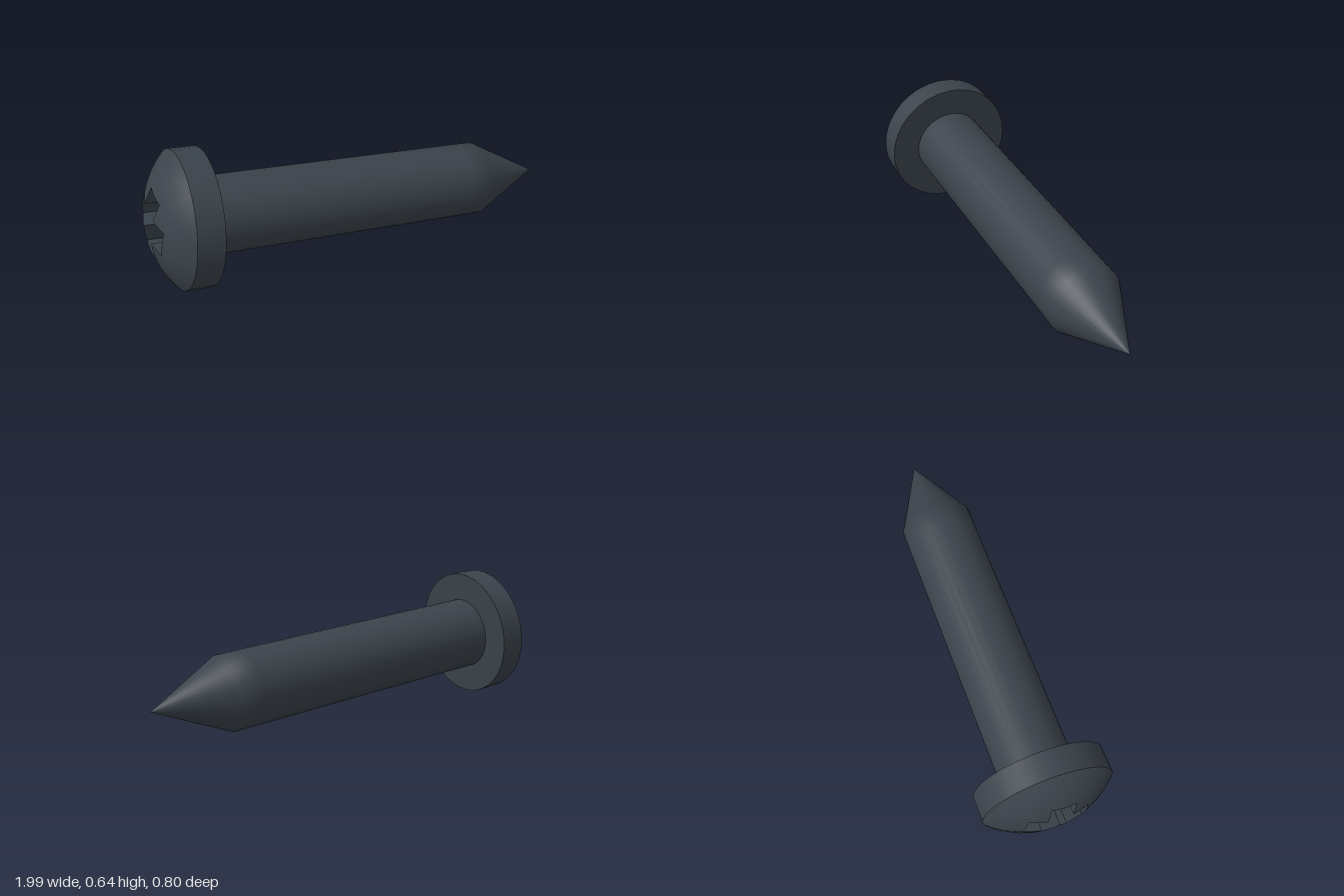
import * as THREE from 'three';

const SIDES = 32;
const SHAFT_R = 0.178, LENGTH = 1.78, TAPER = 0.36;
const HEAD_R = 0.314, RIM = 0.124, DOME = 0.126;
const SLOT = 0.148, SLOT_FLOOR = -0.135; // half length of the cross, height of its floor

// Radius of the cross-shaped outline at column j (arm ends, then arm sides)
function crossRadius(j) {
  const k = j % 8;
  const a = Math.min(k, 8 - k) * Math.PI / 16;
  return a <= Math.PI / 8 + 1e-6
    ? SLOT / Math.cos(a)
    : SLOT * Math.tan(Math.PI / 8) / Math.sin(a);
}

// Height of the domed face at a distance r from the axis
const SPHERE_R = (HEAD_R ** 2 + DOME ** 2) / (2 * DOME);
const domeY = (r) => SPHERE_R - RIM - DOME - Math.sqrt(SPHERE_R ** 2 - r * r);

// Closed surface strip: point(i, j) returns [radius, y]
function ringSurface(rows, point, flat) {
  const pos = [], idx = [];
  for (let i = 0; i <= rows; i++) {
    for (let j = 0; j < SIDES; j++) {
      const [r, y] = point(i, j);
      const a = (j / SIDES) * Math.PI * 2;
      pos.push(r * Math.cos(a), y, r * Math.sin(a));
      if (i === rows) continue;
      const n = (j + 1) % SIDES;
      const p = i * SIDES + j, q = i * SIDES + n;
      idx.push(p, p + SIDES, q, q, p + SIDES, q + SIDES);
    }
  }
  let g = new THREE.BufferGeometry();
  g.setAttribute('position', new THREE.Float32BufferAttribute(pos, 3));
  g.setIndex(idx);
  if (flat) g = g.toNonIndexed();
  g.computeVertexNormals();
  return g;
}

export function createModel() {
  const steel = new THREE.MeshStandardMaterial({ color: 0x3b434b });
  steel.name = 'dark steel';

  const screw = new THREE.Group();
  screw.name = 'screw';
  const add = (name, geometry) => {
    const mesh = new THREE.Mesh(geometry, steel);
    mesh.name = name;
    screw.add(mesh);
    return mesh;
  };

  // Shaft with its pointed end, smooth across the shoulder
  add('shaft', new THREE.LatheGeometry([
    new THREE.Vector2(SHAFT_R, 0),
    new THREE.Vector2(SHAFT_R, LENGTH - TAPER - 0.1),
    new THREE.Vector2(SHAFT_R, LENGTH - TAPER),
    new THREE.Vector2(0, LENGTH),
  ], SIDES));

  // Head: rim, flat underside and domed face around the cross recess
  add('headRim', new THREE.CylinderGeometry(HEAD_R, HEAD_R, RIM, SIDES, 1, true))
    .position.y = -RIM / 2;
  add('headUnderside', new THREE.RingGeometry(SHAFT_R * 0.97, HEAD_R, SIDES).rotateX(-Math.PI / 2));
  add('headDome', ringSurface(6, (i, j) => {
    const r = THREE.MathUtils.lerp(crossRadius(j), HEAD_R, i / 6);
    return [r, domeY(r)];
  }, false));

  // Cross recess: floor and walls
  add('recessFloor', ringSurface(1, (i, j) => [i * crossRadius(j), SLOT_FLOOR], true));
  add('recessWalls', ringSurface(1, (i, j) => {
    const r = crossRadius(j);
    return [r, i ? domeY(r) : SLOT_FLOOR];
  }, true));

  // Lay the screw down along its tilted axis
  const axis = new THREE.Vector3(1, -0.0957, 0.214).normalize();
  screw.quaternion.setFromUnitVectors(new THREE.Vector3(0, 1, 0), axis);
  screw.position.set(-0.742, 0.315, -0.072);

  const model = new THREE.Group();
  model.name = 'model';
  model.add(screw);
  return model;
}
